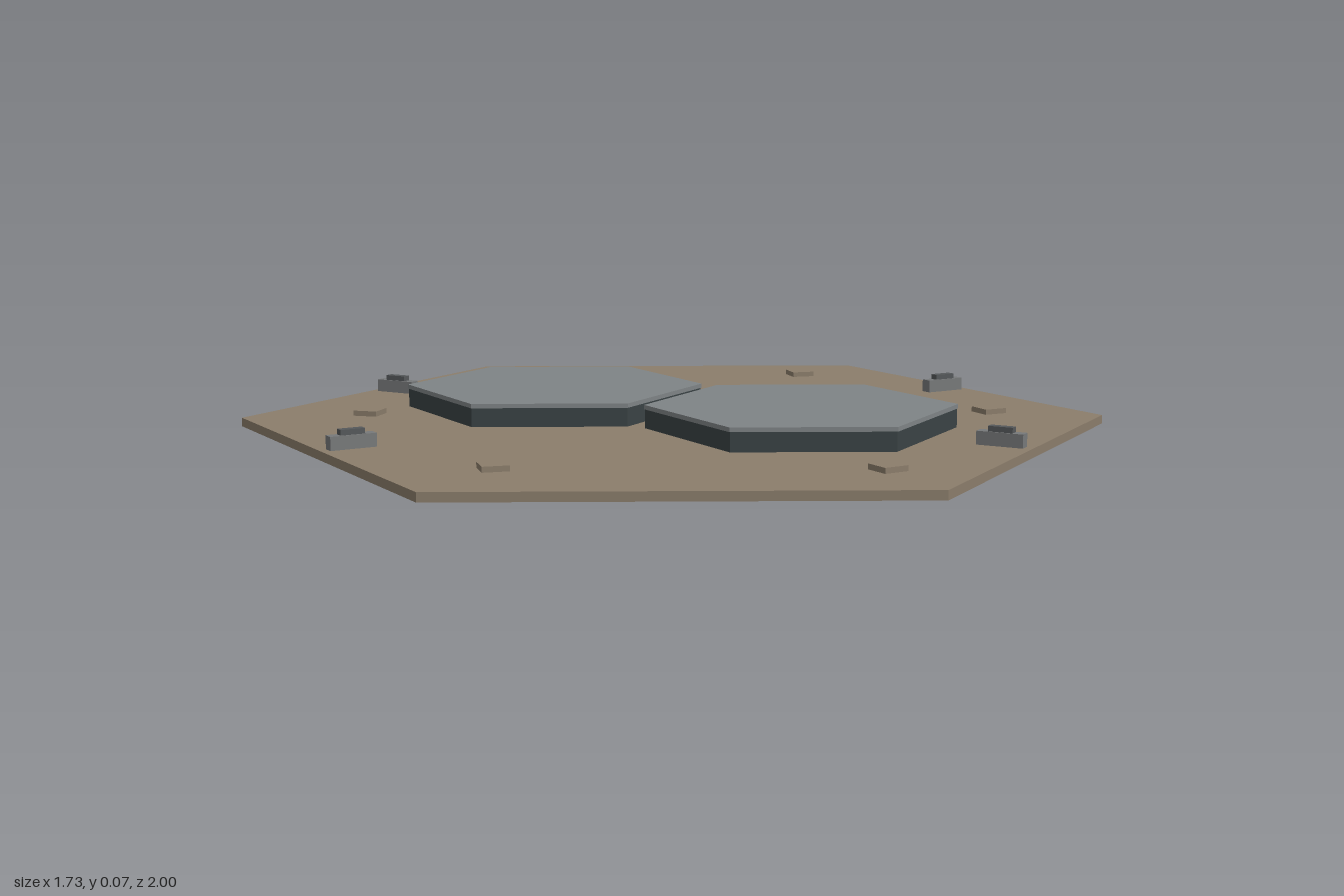
import * as THREE from 'three';

const mat = (name, color) => Object.assign(new THREE.MeshStandardMaterial({ color }), { name });

export function createModel() {
  const earth = mat('earth brown', 0x8b7d6b);
  const slab = mat('slab grey', 0x7f8486);
  const wall = mat('dark slate', 0x3a4345);
  const barrierGrey = mat('barrier grey', 0x77797a);
  const capGrey = mat('cap grey', 0x55585a);

  const model = new THREE.Group();
  model.name = 'hexPlatform';

  const add = (parent, name, geometry, material, x, y, z) => {
    const mesh = new THREE.Mesh(geometry, material);
    mesh.name = name;
    mesh.position.set(x, y, z);
    parent.add(mesh);
    return mesh;
  };

  // Hexagonal prism with corners on the z axis, standing on y0
  const hex = (parent, name, r, y0, y1, material, x = 0) => {
    const g = new THREE.CylinderGeometry(r, r, y1 - y0, 6).toNonIndexed();
    g.computeVertexNormals();
    return add(parent, name, g, material, x, (y0 + y1) / 2, 0);
  };

  // Ground
  hex(model, 'ground', 1, 0, 0.02, earth);

  // Two raised pads: dark wall with a thin slab on top
  for (const side of [-1, 1]) {
    const pad = new THREE.Group();
    pad.name = side > 0 ? 'leftPad' : 'rightPad';
    hex(pad, 'padWall', 0.35, 0.02, 0.063, wall);
    hex(pad, 'padTop', 0.352, 0.063, 0.073, slab);
    pad.position.x = side * 0.326;
    model.add(pad);
  }

  // Ribbed link between the pads
  add(model, 'link', new THREE.BoxGeometry(0.06, 0.03, 0.106), wall, 0, 0.035, 0);
  for (const z of [-0.036, 0, 0.036]) {
    add(model, 'linkRib', new THREE.BoxGeometry(0.06, 0.008, 0.026), wall, 0, 0.054, z);
  }

  // Radial barriers near the rim: a long base with a shorter cap
  for (const deg of [0, 60, 180, 240]) {
    const a = THREE.MathUtils.degToRad(deg);
    const barrier = new THREE.Group();
    barrier.name = 'barrier';
    add(barrier, 'barrierBase', new THREE.BoxGeometry(0.104, 0.03, 0.027), barrierGrey, 0, 0.035, 0);
    add(barrier, 'barrierCap', new THREE.BoxGeometry(0.055, 0.012, 0.02), capGrey, 0, 0.056, 0);
    barrier.position.set(Math.cos(a) * 0.795, 0, -Math.sin(a) * 0.795);
    barrier.rotation.y = a;
    model.add(barrier);
  }

  // Loose flat stones: x, z, turn in degrees
  const stones = [
    [-0.035, -0.762, 45], [0.62, -0.412, -35], [-0.593, -0.297, 3],
    [-0.637, 0.317, 13], [0.69, 0.372, -30], [0, 0.744, 45],
  ];
  for (const [x, z, deg] of stones) {
    const stone = add(model, 'stone', new THREE.BoxGeometry(0.057, 0.012, 0.057), earth, x, 0.026, z);
    stone.rotation.y = THREE.MathUtils.degToRad(deg);
  }

  return model;
}
